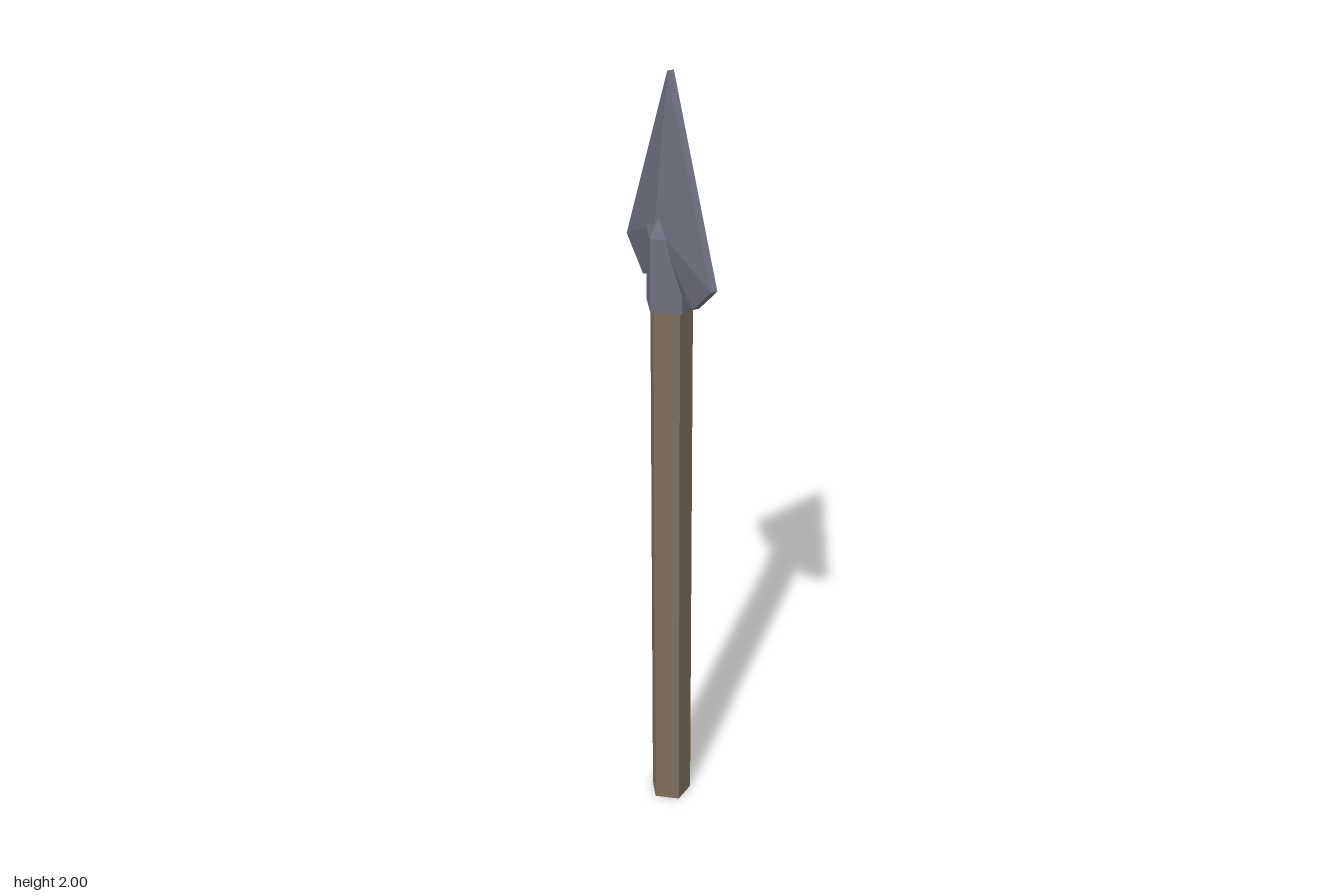
import * as THREE from 'three';

export function createModel() {
  const group = new THREE.Group();
  const wood = new THREE.MeshStandardMaterial({ name: 'wood', color: 0x7f6f5c, flatShading: true });
  const metal = new THREE.MeshStandardMaterial({ name: 'metal', color: 0x6e7080, flatShading: true });

  const add = (name, geometry, material, parent = group) => {
    const mesh = new THREE.Mesh(geometry, material);
    mesh.name = name;
    parent.add(mesh);
    return mesh;
  };

  // Five-sided prism or cone with one corner pointing to the back
  const prism = (rTop, rBottom, y0, y1, open = false) =>
    new THREE.CylinderGeometry(rTop, rBottom, y1 - y0, 5, 1, open)
      .rotateY(Math.PI)
      .translate(0, (y0 + y1) / 2, 0.003);

  // Wooden shaft
  add('shaft', prism(0.054, 0.054, 0, 1.43), wood);

  // Metal socket with a pointed top that runs into the blade
  const socket = new THREE.Group();
  socket.name = 'socket';
  group.add(socket);
  add('socketSleeve', prism(0.064, 0.064, 1.43, 1.615), metal, socket);
  add('socketCap', prism(0, 0.064, 1.615, 1.72, true), metal, socket);

  // Barbed blade: thin rim, each side rising to a central peak
  const outline = [[0, 2], [-0.202, 1.54], [-0.12, 1.465], [0, 1.51], [0.12, 1.465], [0.202, 1.54]];
  const rim = 0.0085;
  const peakY = 1.64;
  const peakZ = 0.042;
  const points = [];
  outline.forEach(([ax, ay], i) => {
    const [bx, by] = outline[(i + 1) % outline.length];
    const a = [ax, ay, rim], b = [bx, by, rim];
    const a2 = [ax, ay, -rim], b2 = [bx, by, -rim];
    points.push(
      [0, peakY, peakZ], a, b,
      [0, peakY, -peakZ], b2, a2,
      a, a2, b2,
      a, b2, b
    );
  });
  const bladeGeometry = new THREE.BufferGeometry();
  bladeGeometry.setAttribute('position', new THREE.Float32BufferAttribute(points.flat(), 3));
  bladeGeometry.computeVertexNormals();
  const blade = add('blade', bladeGeometry, metal);
  blade.rotation.y = THREE.MathUtils.degToRad(-49.8);

  return group;
}
